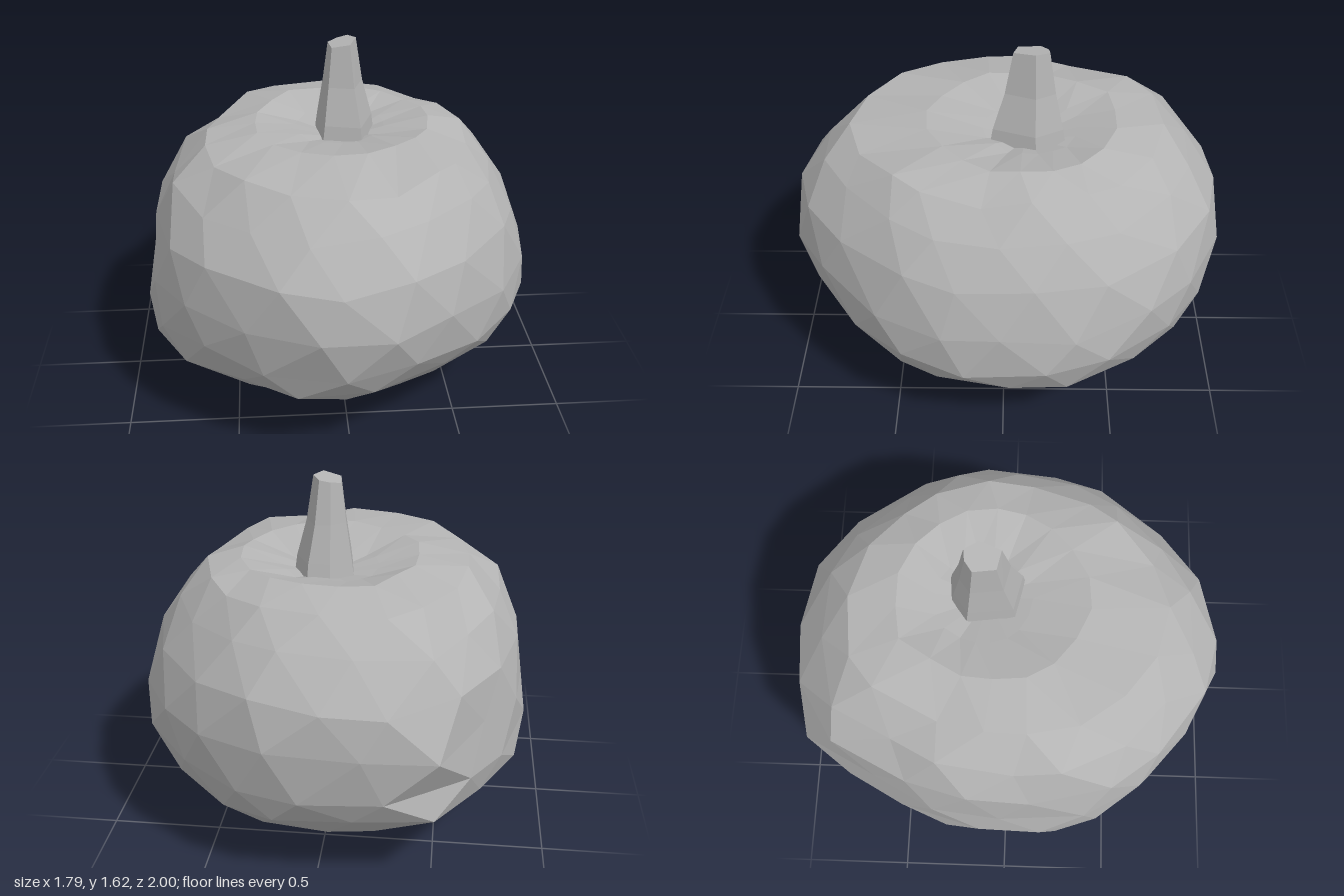
import * as THREE from 'three';

const SEG = 18;
// Plan outline: radius every 20 degrees, from +x round towards +z
const OUTLINE = [0.885, 0.89, 0.885, 0.9, 0.965, 0.985, 0.94, 0.94, 0.935,
  0.89, 0.92, 0.93, 1.07, 1.0, 0.995, 0.96, 0.93, 0.915];

// Horizontal cross-sections from the base to the dimple: y, xMin, xMax, zMin, zMax
const RINGS = [
  [0.05, -0.24, 0.35, -0.46, 0.32],
  [0.2, -0.69, 0.66, -0.74, 0.67],
  [0.36, -0.87, 0.82, -0.92, 0.87],
  [0.5, -0.89, 0.885, -0.97, 0.95],
  [0.69, -0.87, 0.87, -1, 1],
  [0.9, -0.835, 0.8, -0.97, 0.97],
  [1.07, -0.75, 0.7, -0.84, 0.84],
  [1.195, -0.6, 0.58, -0.71, 0.71],
  [1.25, -0.38, 0.42, -0.5, 0.36],
  [1.2, -0.2, 0.22, -0.33, 0.1],
];

function seeded(seed) {
  return () => {
    seed = (seed * 16807) % 2147483647;
    return seed / 2147483647 - 0.5;
  };
}

// Joins equal rings of points into an outward-facing faceted skin with end points
function skin(rings, bottom, top) {
  const pos = [];
  const tri = (...pts) => pts.forEach((p) => pos.push(...p));
  const n = rings[0].length;
  const last = rings.length - 1;
  for (let j = 0; j < n; j++) {
    const k = (j + 1) % n;
    tri(bottom, rings[0][j], rings[0][k]);
    tri(top, rings[last][k], rings[last][j]);
    for (let i = 0; i < last; i++) {
      const a = rings[i][j], b = rings[i][k], c = rings[i + 1][j], d = rings[i + 1][k];
      if (i % 2 === 0) { tri(a, c, b); tri(b, c, d); }
      else { tri(a, c, d); tri(a, d, b); }
    }
  }
  const geo = new THREE.BufferGeometry();
  geo.setAttribute('position', new THREE.Float32BufferAttribute(pos, 3));
  geo.computeVertexNormals();
  return geo;
}

function bodyGeometry() {
  const rnd = seeded(4217);
  const rings = RINGS.map(([y, x0, x1, z0, z1], i) => {
    const ring = [];
    const rough = i > 0 && i < 8 ? 1 : 0.4;
    for (let j = 0; j < SEG; j++) {
      // Alternate rings are turned half a step; small shifts make the facets uneven
      const s = (j + (i % 2) * 0.5 + rnd() * 0.35 * rough + SEG) % SEG;
      const f = s - Math.floor(s);
      const r = THREE.MathUtils.lerp(OUTLINE[Math.floor(s)], OUTLINE[(Math.floor(s) + 1) % SEG], f);
      const t = (s / SEG) * Math.PI * 2;
      const u = (r * Math.cos(t)) / 0.885;
      const v = (r * Math.sin(t)) / 0.98;
      // Extents are measured from a centre that drifts back near the dimple
      const cx = (x0 + x1) / 2, cz = (z0 + z1) / 2;
      ring.push([
        cx + u * (x1 - x0) / 2,
        y + rnd() * 0.05 * rough,
        cz + v * (z1 - z0) / 2,
      ]);
    }
    return ring;
  });
  return skin(rings, [0.1, 0, -0.05], [0.03, 1.15, -0.1]);
}

// Tapered six-sided stem, leaning slightly
function stemGeometry() {
  const base = [[0.17, -0.14], [0.1, 0.06], [-0.07, 0.02], [-0.095, -0.19], [0, -0.26], [0.1, -0.27]];
  const levels = [[1.14, 1.06, 0.04, -0.1], [1.25, 0.95, 0.04, -0.1],
    [1.42, 0.68, 0.03, -0.11], [1.605, 0.48, 0.025, -0.115]];
  const rings = levels.map(([y, s, cx, cz], i) => base.map(([x, z]) => [
    cx + (x - 0.04) * s, y + (i === 3 ? x * 0.1 : 0), cz + (z + 0.1) * s,
  ]));
  return skin(rings, [0.04, 1.14, -0.1], [0.03, 1.61, -0.115]);
}

export function createModel() {
  const group = new THREE.Group();
  group.name = 'pumpkin';
  const grey = new THREE.MeshStandardMaterial({ color: 0xb4b4b4 });
  grey.name = 'plain grey';
  grey.flatShading = true;

  const body = new THREE.Mesh(bodyGeometry(), grey);
  body.name = 'body';
  const stem = new THREE.Mesh(stemGeometry(), grey);
  stem.name = 'stem';
  group.add(body, stem);
  return group;
}
